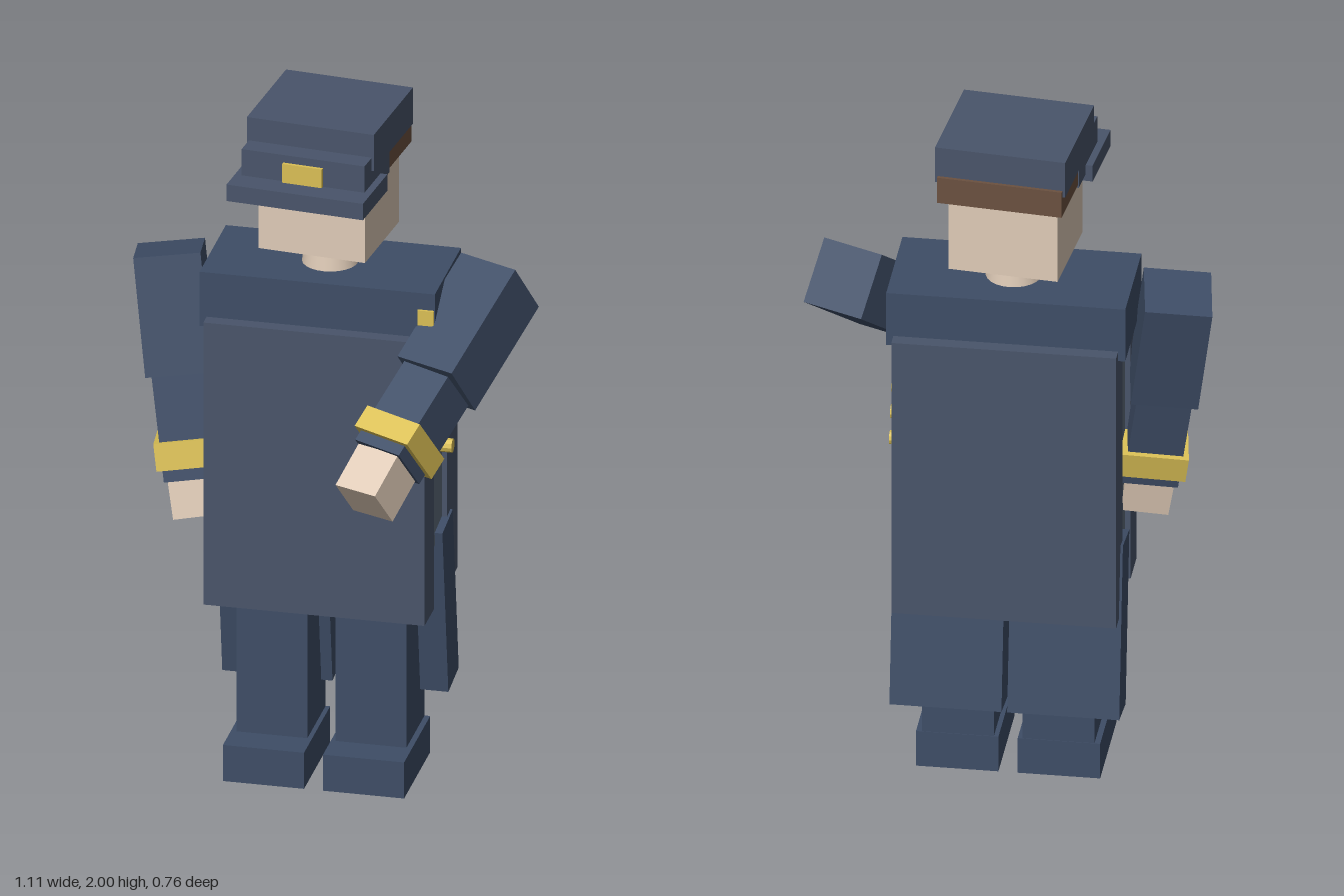
import * as THREE from 'three';

const paint = (color) => new THREE.MeshStandardMaterial({ color, flatShading: true });
const COAT = paint(0x49546a);
const NAVY = paint(0x3e4d66);
const LINING = paint(0x5f6b7b);
const SKIN = paint(0xdfcbb7);
const GOLD = paint(0xdabf55);
const HAIR = paint(0x6b5140);

// Box given by its ranges: [x0, x1], [y0, y1], [z0, z1]
function block(parent, name, material, [x0, x1], [y0, y1], [z0, z1]) {
  const mesh = new THREE.Mesh(new THREE.BoxGeometry(x1 - x0, y1 - y0, z1 - z0), material);
  mesh.position.set((x0 + x1) / 2, (y0 + y1) / 2, (z0 + z1) / 2);
  mesh.name = name;
  parent.add(mesh);
  return mesh;
}

// Square bar between two points, its front turned by yaw
function bar(parent, name, material, top, bottom, width, yaw) {
  const up = top.clone().sub(bottom);
  const mesh = new THREE.Mesh(new THREE.BoxGeometry(width, up.length(), width), material);
  up.normalize();
  const side = new THREE.Vector3(Math.cos(yaw), 0, -Math.sin(yaw));
  side.addScaledVector(up, -side.dot(up)).normalize();
  const front = side.clone().cross(up);
  mesh.quaternion.setFromRotationMatrix(new THREE.Matrix4().makeBasis(side, up, front));
  mesh.position.copy(top).add(bottom).multiplyScalar(0.5);
  mesh.name = name;
  parent.add(mesh);
}

function buildArm(name, points, yaw) {
  const arm = new THREE.Group();
  arm.name = name;
  const [shoulder, elbow, wrist, finger] = points.map((p) => new THREE.Vector3(...p));
  bar(arm, 'upperArm', NAVY, shoulder, elbow, 0.188, yaw);
  bar(arm, 'forearm', NAVY, elbow, wrist, 0.155, yaw);
  bar(arm, 'cuff', GOLD, elbow.clone().lerp(wrist, 0.62), elbow.clone().lerp(wrist, 0.88), 0.186, yaw);
  bar(arm, 'hand', SKIN, wrist, finger, 0.135, yaw);
  return arm;
}

function buildBody() {
  const body = new THREE.Group();
  body.name = 'body';

  // Coat: yoke, front and back panels, recessed sides
  block(body, 'yoke', NAVY, [-0.335, 0.335], [1.36, 1.525], [-0.16, 0.16]);
  block(body, 'coatFront', COAT, [-0.315, 0.315], [0.53, 1.39], [0.085, 0.2]);
  block(body, 'coatBack', COAT, [-0.315, 0.315], [0.53, 1.39], [-0.2, -0.075]);
  block(body, 'coatSides', LINING, [-0.3, 0.3], [0.69, 1.37], [-0.08, 0.09]);
  block(body, 'shoulderPin', GOLD, [0.287, 0.333], [1.43, 1.475], [0.155, 0.168]);

  for (const s of [-1, 1]) {
    const range = (a, b) => (s > 0 ? [a, b] : [-b, -a]);
    block(body, 'leg', NAVY, range(0.04, 0.242), [0.02, 0.72], [-0.112, 0.108]);
    block(body, 'shoe', NAVY, range(0.027, 0.258), [0, 0.11], [-0.114, 0.205]);
    const tail = block(body, 'coatTail', NAVY, range(0.008, 0.322), [0.22, 0.74], [-0.152, -0.024]);
    tail.rotation.x = 0.14;
  }

  // Slanting row of buttons
  for (let i = 0; i < 5; i++) {
    const button = new THREE.Mesh(new THREE.CylinderGeometry(0.02, 0.02, 0.06, 10), GOLD);
    button.rotation.z = Math.PI / 2;
    button.position.set(0.315, 1.27 - i * 0.071, 0.07 - i * 0.022);
    button.name = 'button';
    body.add(button);
  }

  const neck = new THREE.Mesh(
    new THREE.CylinderGeometry(0.068, 0.08, 0.1, 24),
    new THREE.MeshStandardMaterial({ color: 0xdfcbb7 })
  );
  neck.position.y = 1.565;
  neck.name = 'neck';
  body.add(neck);
  return body;
}

function buildHead() {
  const head = new THREE.Group();
  head.name = 'head';
  block(head, 'face', SKIN, [-0.156, 0.156], [1.6, 1.9], [-0.146, 0.146]);
  block(head, 'hair', HAIR, [-0.178, 0.178], [1.83, 1.91], [-0.188, 0.01]);
  // Peaked cap
  block(head, 'capCrown', COAT, [-0.186, 0.186], [1.89, 2], [-0.178, 0.158]);
  block(head, 'capBand', COAT, [-0.18, 0.18], [1.82, 1.93], [0.005, 0.22]);
  block(head, 'capPeak', COAT, [-0.2, 0.2], [1.8, 1.85], [0.083, 0.292]);
  block(head, 'capBadge', GOLD, [-0.058, 0.058], [1.85, 1.907], [0.21, 0.23]);
  return head;
}

export function createModel() {
  const model = new THREE.Group();
  model.name = 'figure';

  const body = buildBody();
  body.position.set(0.015, 0, -0.09);
  body.rotation.y = 0.3;

  const head = buildHead();
  head.position.set(0.01, 0, -0.09);
  head.rotation.y = 0.2;

  // Hanging right arm, left arm reaching forward
  const rightArm = buildArm('rightArm',
    [[-0.43, 1.508, 0.035], [-0.365, 1.175, 0.08], [-0.305, 0.88, 0.115], [-0.282, 0.775, 0.125]], 0.46);
  const leftArm = buildArm('leftArm',
    [[0.455, 1.495, -0.27], [0.42, 1.285, 0.02], [0.385, 1.12, 0.23], [0.375, 1.035, 0.34]], -0.11);

  model.add(body, head, rightArm, leftArm);
  return model;
}
